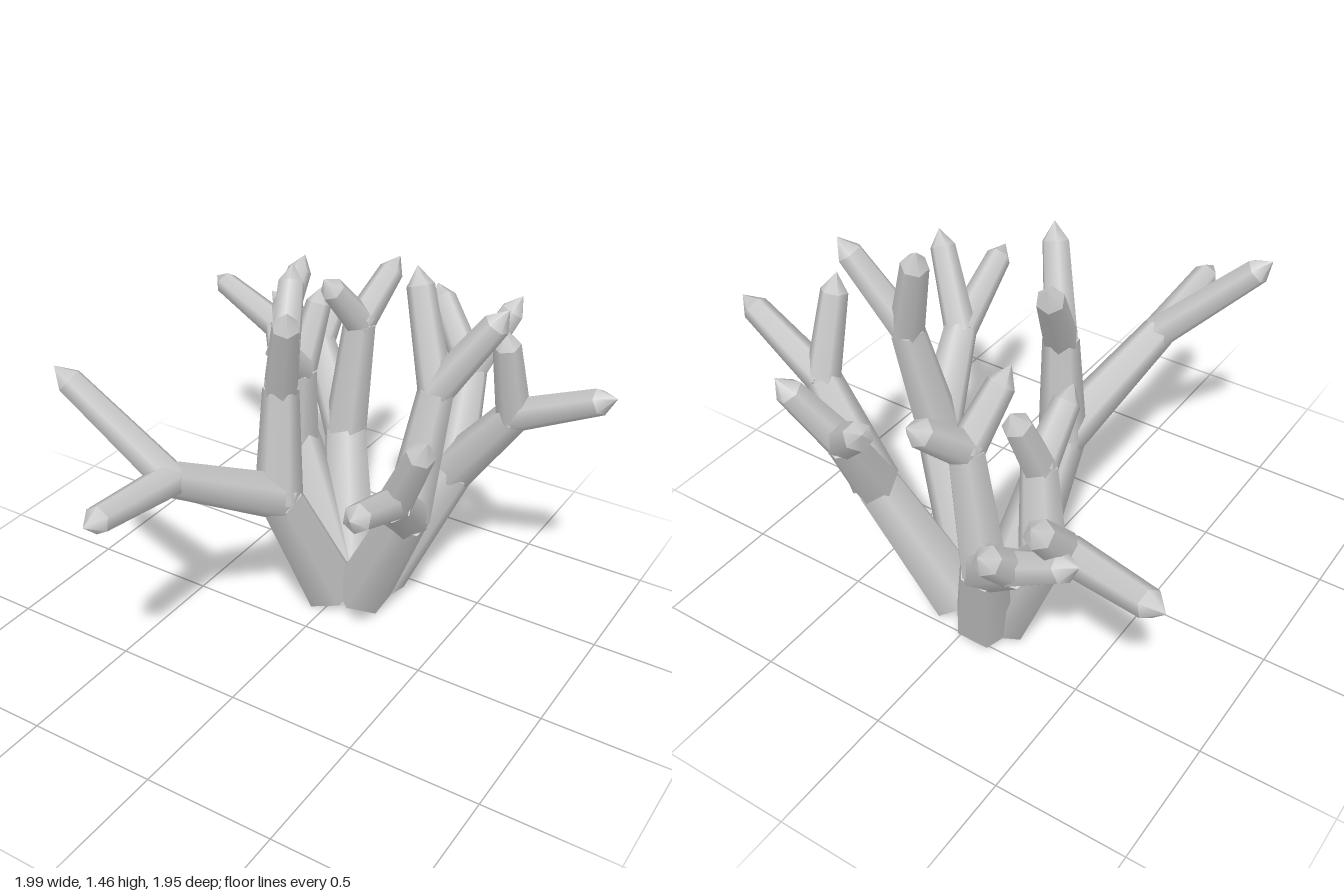
import * as THREE from 'three';

const SIDES = 6;
const UP = new THREE.Vector3(0, 1, 0);

// Each stem: base and end points, then two boughs, each with a fork point and two twig tips
const STEMS = [
  { name: 'frontStem', base: [-0.03, 0.05, -0.22], end: [-0.08, 0.6, 0.06], boughs: [
    { fork: [-0.22, 0.86, 0.51], tips: [[-0.21, 0.92, 0.97], [-0.6, 1.235, 0.62]] },
    { fork: [-0.08, 1.04, 0.04], tips: [[-0.19, 1.4, -0.215], [0.04, 1.41, 0.18]] } ] },
  { name: 'leftFrontStem', base: [0.1, 0.05, -0.27], end: [0.36, 0.57, -0.12], boughs: [
    { fork: [0.46, 0.81, 0.17], tips: [[0.52, 0.98, 0.57], [0.63, 1.15, 0.285]] },
    { fork: [0.4, 1.05, -0.22], tips: [[0.255, 1.455, -0.32], [0.625, 1.385, -0.29]] } ] },
  { name: 'leftBackStem', base: [0.105, 0.05, -0.385], end: [0.35, 0.57, -0.51], boughs: [
    { fork: [0.6, 0.9, -0.46], tips: [[0.99, 1.095, -0.42], [0.59, 1.285, -0.345]] },
    { fork: [0.31, 0.9, -0.7], tips: [[0.06, 1.145, -0.875], [0.44, 1.19, -0.84]] } ] },
  { name: 'backStem', base: [-0.06, 0.05, -0.43], end: [-0.2, 0.53, -0.62], boughs: [
    { fork: [-0.44, 0.79, -0.8], tips: [[-0.44, 0.975, -0.98], [-0.7, 0.95, -0.83]] },
    { fork: [-0.15, 1.02, -0.63], tips: [[-0.1, 1.23, -0.855], [-0.2, 1.255, -0.44]] } ] },
  { name: 'rightStem', base: [-0.105, 0.05, -0.37], end: [-0.34, 0.53, -0.47], boughs: [
    { fork: [-0.58, 0.86, -0.71], tips: [[-1, 0.945, -0.85], [-0.585, 1.11, -0.915]] },
    { fork: [-0.29, 0.87, -0.42], tips: [[-0.28, 1.065, -0.19], [-0.275, 1.17, -0.56]] } ] },
];

export function createModel() {
  const grey = new THREE.MeshStandardMaterial({ color: 0xcccccc });
  grey.name = 'coralGrey';
  const model = new THREE.Group();
  model.name = 'branchingCoral';

  // Tapered limb from a to b; a point longer than 0 adds a conical end that reaches b
  function limb(name, a, b, r0, r1, point = 0) {
    const from = new THREE.Vector3(...a);
    const to = new THREE.Vector3(...b);
    const length = from.distanceTo(to);
    const dir = to.clone().sub(from).normalize();
    const side = new THREE.Vector3().crossVectors(UP, dir).normalize();
    const out = new THREE.Vector3().crossVectors(side, dir);
    const group = new THREE.Group();
    group.name = name;
    group.position.copy(from);
    group.quaternion.setFromRotationMatrix(new THREE.Matrix4().makeBasis(side, dir, out));

    const shaftLength = length - point;
    const shaft = new THREE.Mesh(
      new THREE.CylinderGeometry(r1, r0, shaftLength, SIDES).translate(0, shaftLength / 2, 0), grey);
    shaft.name = name + 'Shaft';
    group.add(shaft);
    if (point > 0) {
      const cone = new THREE.Mesh(
        new THREE.ConeGeometry(r1, point, SIDES).translate(0, shaftLength + point / 2, 0), grey);
      cone.name = name + 'Point';
      group.add(cone);
    }
    return group;
  }

  for (const { name, base, end, boughs } of STEMS) {
    const stem = new THREE.Group();
    stem.name = name;
    stem.add(limb('trunk', base, end, 0.12, 0.09));
    for (const { fork, tips } of boughs) {
      stem.add(limb('bough', end, fork, 0.09, 0.066));
      for (const tip of tips) stem.add(limb('twig', fork, tip, 0.064, 0.05, 0.07));
    }
    model.add(stem);
  }
  return model;
}
